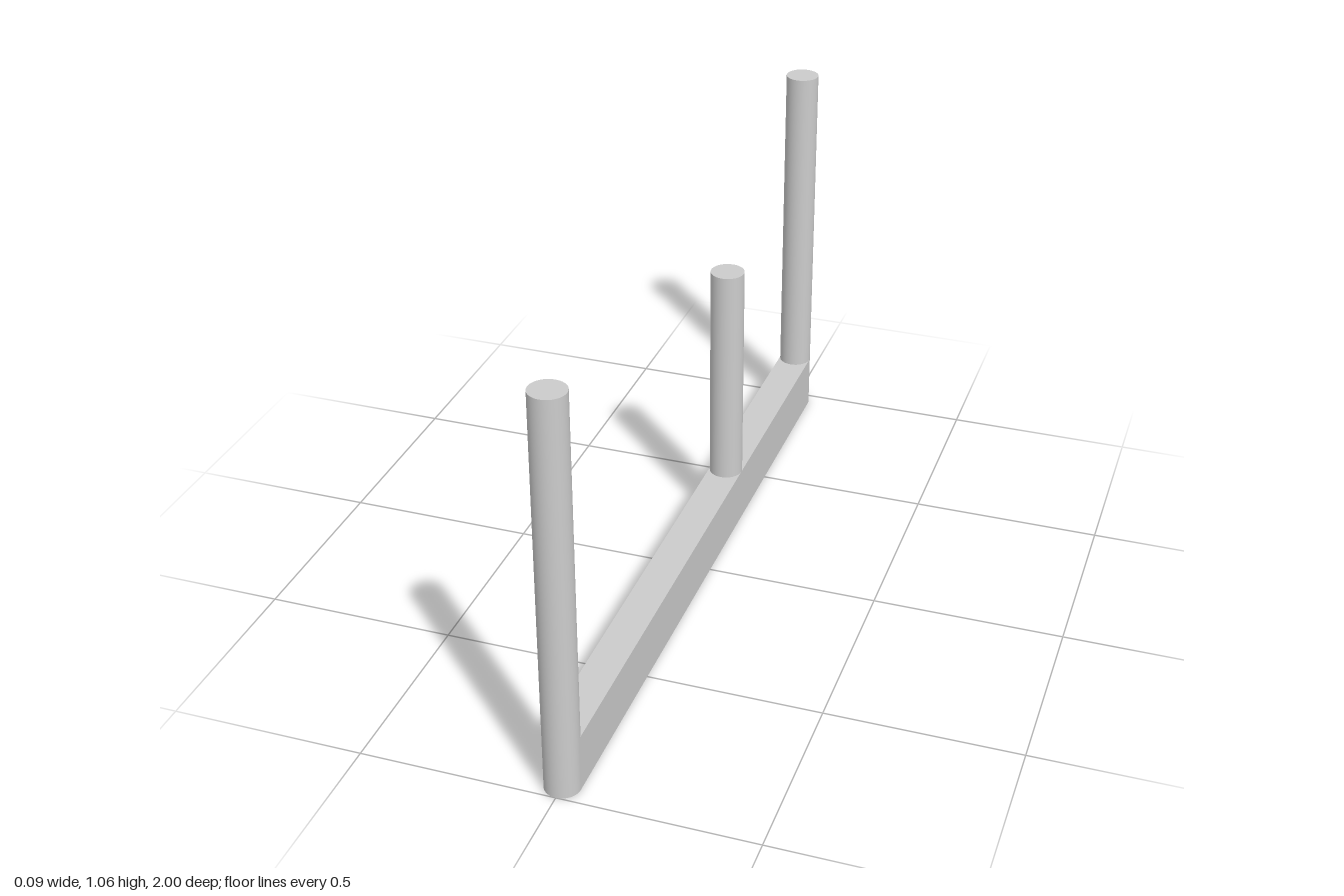
import * as THREE from 'three';

const R = 0.045;          // shared radius of posts and rail ends
const END = 1 - R;        // z of the end posts
const RAIL_H = 0.15;

export function createModel() {
  const group = new THREE.Group();
  const material = new THREE.MeshStandardMaterial({ color: 0xcccccc });

  const add = (name, geometry, y, z) => {
    const mesh = new THREE.Mesh(geometry, material);
    mesh.name = name;
    mesh.position.set(0, y, z);
    group.add(mesh);
  };

  // Base rail: a bar with rounded ends, extruded upwards
  const outline = new THREE.Shape();
  outline.moveTo(R, -END);
  outline.lineTo(R, END);
  outline.absarc(0, END, R, 0, Math.PI, false);
  outline.lineTo(-R, -END);
  outline.absarc(0, -END, R, Math.PI, Math.PI * 2, false);
  const rail = new THREE.ExtrudeGeometry(outline, {
    depth: RAIL_H, bevelEnabled: false, curveSegments: 24,
  });
  rail.rotateX(-Math.PI / 2);

  // Smooth the rounded ends while keeping the flat sides and caps sharp
  const pos = rail.attributes.position;
  const nor = rail.attributes.normal;
  for (let i = 0; i < pos.count; i++) {
    if (Math.abs(nor.getY(i)) > 0.5) continue;
    const dz = Math.sign(pos.getZ(i)) * Math.max(0, Math.abs(pos.getZ(i)) - END);
    const n = new THREE.Vector3(pos.getX(i), 0, dz).normalize();
    nor.setXYZ(i, n.x, n.y, n.z);
  }
  add('baseRail', rail, 0, 0);

  // Upright posts standing on the rail
  const posts = [
    ['frontPost', END, 1.06],
    ['middlePost', -0.273, 0.76],
    ['backPost', -END, 1.06],
  ];
  for (const [name, z, top] of posts) {
    const h = top - RAIL_H;
    add(name, new THREE.CylinderGeometry(R, R, h, 48), RAIL_H + h / 2, z);
  }
  return group;
}
